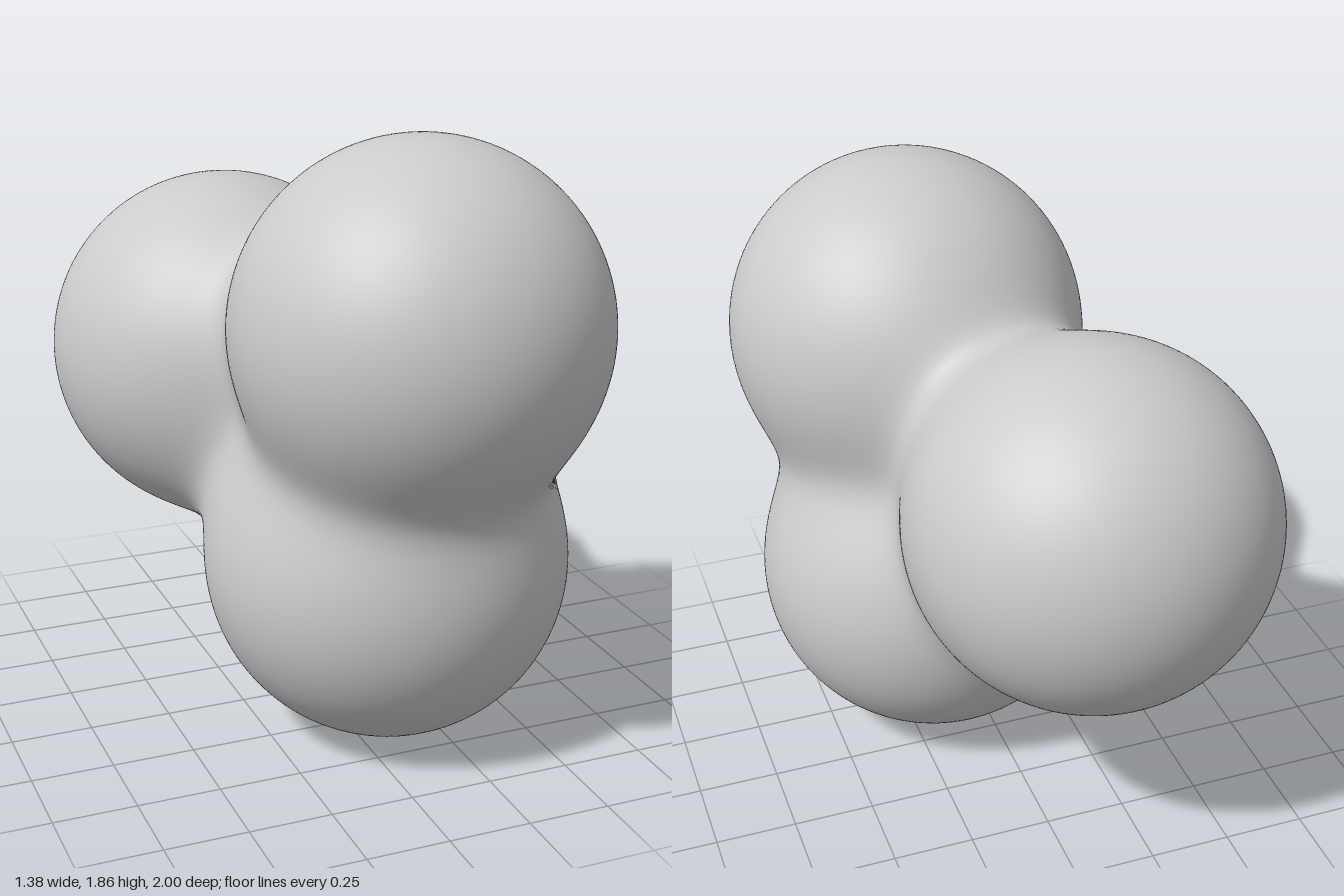
import * as THREE from 'three';
import { mergeVertices } from 'three/addons/utils/BufferGeometryUtils.js';

const RADIUS = 0.55;
const BLEND = 0.075; // softness of the necks between the balls

const upperFront = new THREE.Vector3(0.14, 1.315, 0.45);
const lowerFront = new THREE.Vector3(0.125, 0.55, 0.26);
const rear = new THREE.Vector3(-0.14, 1.06, -0.45);
const centres = [upperFront, lowerFront, rear];

// Smooth union of the three balls: negative inside, positive outside
function distance(p) {
  let sum = 0;
  for (const c of centres) sum += Math.exp(-(p.distanceTo(c) - RADIUS) / BLEND);
  return -BLEND * Math.log(sum);
}

// Point equally far from all three centres; every part of the skin is visible from it
function circumcentre(a, b, c) {
  const ab = b.clone().sub(a);
  const ac = c.clone().sub(a);
  const n = ab.clone().cross(ac);
  const u = n.clone().cross(ab).multiplyScalar(ac.lengthSq());
  const v = ac.clone().cross(n).multiplyScalar(ab.lengthSq());
  return u.add(v).divideScalar(2 * n.lengthSq()).add(a);
}

// Push each vertex of a fine sphere out to the blended skin
function blendedGeometry() {
  let geo = new THREE.IcosahedronGeometry(1, 40);
  geo.deleteAttribute('uv');
  geo.deleteAttribute('normal');
  geo = mergeVertices(geo, 1e-5);
  const origin = circumcentre(...centres);
  const pos = geo.attributes.position;
  const dir = new THREE.Vector3();
  const p = new THREE.Vector3();
  for (let i = 0; i < pos.count; i++) {
    dir.fromBufferAttribute(pos, i).normalize();
    let near = 0;
    let far = 2;
    for (let k = 0; k < 30; k++) {
      const mid = (near + far) / 2;
      p.copy(origin).addScaledVector(dir, mid);
      if (distance(p) < 0) near = mid;
      else far = mid;
    }
    pos.setXYZ(i, p.x, p.y, p.z);
  }
  geo.computeVertexNormals();
  return geo;
}

export function createModel() {
  const group = new THREE.Group();
  group.name = 'blendedBalls';
  const body = new THREE.Mesh(
    blendedGeometry(),
    new THREE.MeshStandardMaterial({ color: 0xcccccc })
  );
  body.name = 'threeLobedBody';
  group.add(body);
  return group;
}
